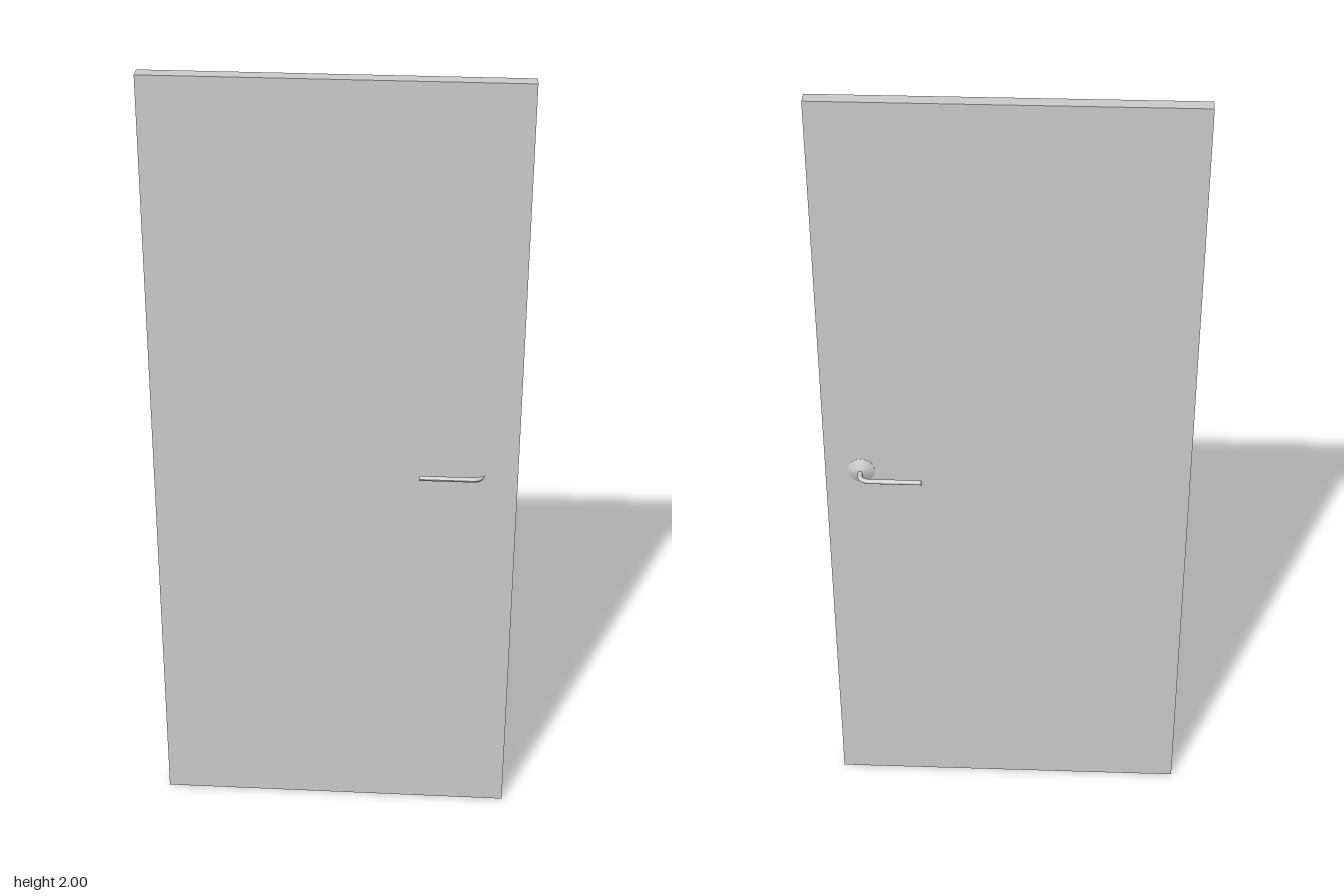
import * as THREE from 'three';

const material = new THREE.MeshStandardMaterial({ color: 0xcccccc, side: THREE.DoubleSide });

function part(name, geometry, x = 0, y = 0, z = 0) {
  const mesh = new THREE.Mesh(geometry, material);
  mesh.name = name;
  mesh.position.set(x, y, z);
  return mesh;
}

// Straight grip followed by a bend; radiusAt(t) scales the round section
function lever(name, grip, bend, radiusAt) {
  const path = new THREE.CurvePath();
  const v = ([x, y, z]) => new THREE.Vector3(x, y, z);
  path.add(new THREE.LineCurve3(v(grip[0]), v(grip[1])));
  path.add(new THREE.CatmullRomCurve3([grip[1], ...bend].map(v)));
  const segments = 40, sides = 12;
  const tube = new THREE.TubeGeometry(path, segments, 1, sides, false);
  const pos = tube.attributes.position;
  const p = new THREE.Vector3();
  for (let i = 0; i <= segments; i++) {
    const centre = path.getPointAt(i / segments);
    for (let j = 0; j <= sides; j++) {
      const k = i * (sides + 1) + j;
      p.fromBufferAttribute(pos, k).sub(centre).multiplyScalar(radiusAt(i / segments)).add(centre);
      pos.setXYZ(k, p.x, p.y, p.z);
    }
  }
  tube.computeVertexNormals();
  const group = new THREE.Group();
  group.name = name;
  group.add(part('leverBar', tube));
  const cap = part('leverEndCap', new THREE.CircleGeometry(radiusAt(0), sides), ...grip[0]);
  cap.rotation.y = -Math.PI / 2;
  group.add(cap);
  return group;
}

export function createModel() {
  const door = new THREE.Group();
  door.name = 'door';

  // Plain slab
  door.add(part('doorPanel', new THREE.BoxGeometry(0.896, 2, 0.036), 0, 1, -0.001));

  // Back lever, bending in to its rose
  door.add(lever('backHandle',
    [[0.208, 1.007, -0.064], [0.338, 1.007, -0.064]],
    [[0.351, 1.007, -0.060], [0.359, 1.007, -0.051], [0.361, 1.007, -0.026]],
    () => 0.006));

  // Conical rose on the back face
  const profile = [[0.034, 0], [0.034, 0.001], [0.022, 0.006], [0.012, 0.01], [0.006, 0.012], [0, 0.012]];
  const rose = part('backRose',
    new THREE.LatheGeometry(profile.map(([r, h]) => new THREE.Vector2(r, h)), 24), 0.359, 1.007, -0.019);
  rose.rotation.x = -Math.PI / 2;
  door.add(rose);

  // Front lever, its bend tapering to a point short of the panel
  door.add(lever('frontHandle',
    [[0.208, 1.012, 0.06], [0.338, 1.012, 0.06]],
    [[0.351, 1.012, 0.057], [0.361, 1.012, 0.048], [0.367, 1.012, 0.035]],
    (t) => 0.006 * Math.min(1, (1 - t) / 0.14)));

  return door;
}
